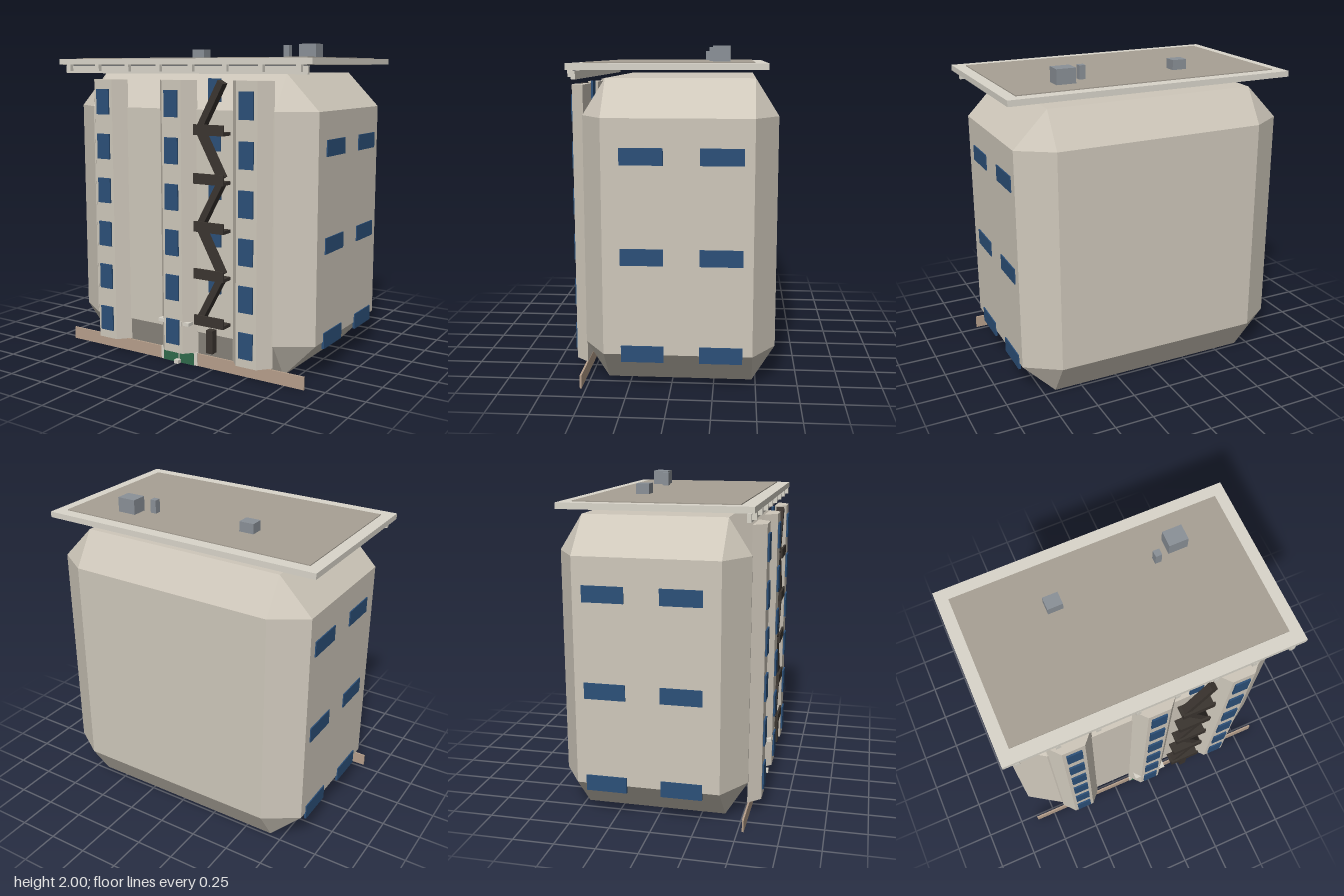
import * as THREE from 'three';
import { ConvexGeometry } from 'three/addons/geometries/ConvexGeometry.js';

const mat = (color) => new THREE.MeshStandardMaterial({ color, flatShading: true });
const wall = mat(0xcfc8bb), trim = mat(0xdad6cb), glass = mat(0x2c5079), iron = mat(0x3b3530);
const plinthMat = mat(0xb7a08c), doorMat = mat(0x2f6b4b), roofMat = mat(0xa8a195), unitMat = mat(0x8b9198);

export function createModel() {
  const model = new THREE.Group();

  const add = (name, geometry, material, parent = model) => {
    const mesh = new THREE.Mesh(geometry, material);
    mesh.name = name;
    parent.add(mesh);
    return mesh;
  };
  // Box given by its limits on each axis
  const box = (name, material, [x0, x1], [y0, y1], [z0, z1], parent) => {
    const m = add(name, new THREE.BoxGeometry(x1 - x0, y1 - y0, z1 - z0), material, parent);
    m.position.set((x0 + x1) / 2, (y0 + y1) / 2, (z0 + z1) / 2);
    return m;
  };
  const group = (name) => {
    const g = new THREE.Group();
    g.name = name;
    model.add(g);
    return g;
  };

  // Main block: a box with every edge and corner bevelled
  const zMid = -0.043, points = [];
  for (const sx of [-1, 1]) for (const top of [false, true]) for (const sz of [-1, 1]) {
    const yOut = top ? 1.815 : 0, yIn = top ? 1.6 : 0.22;
    const zOut = zMid + sz * 0.572, zIn = zMid + sz * 0.435;
    points.push(
      new THREE.Vector3(sx * 0.88, yIn, zIn),
      new THREE.Vector3(sx * 0.67, yOut, zIn),
      new THREE.Vector3(sx * 0.67, yIn, zOut));
  }
  add('mainBlock', new ConvexGeometry(points), wall);

  // Three projecting window bays, trapezoid in plan
  const plan = new THREE.Shape([[-0.138, -0.525], [-0.07, -0.602], [0.07, -0.602], [0.138, -0.525]]
    .map(([x, y]) => new THREE.Vector2(x, y)));
  const bayGeometry = new THREE.ExtrudeGeometry(plan, { depth: 1.69, bevelEnabled: false });
  bayGeometry.rotateX(-Math.PI / 2);
  for (const x of [-0.527, 0, 0.527]) {
    const bay = group('windowBay');
    bay.position.x = x;
    add('bayWall', bayGeometry, wall, bay).position.y = 0.085;
    for (let i = 0; i < 6; i++) {
      const y = 0.22 + i * 0.283;
      box('bayWindow', glass, [-0.048, 0.048], [y - 0.08, y + 0.08], [0.598, 0.613], bay);
    }
  }

  // Side windows
  const sideWindows = group('sideWindows');
  for (const s of [-1, 1]) for (const y of [0.225, 0.805, 1.385]) for (const z of [0.163, -0.295]) {
    const w = box('sideWindow', glass, [-0.0075, 0.0075], [y - 0.049, y + 0.049], [z - 0.125, z + 0.125], sideWindows);
    w.position.x = s * 0.8795;
  }

  // Stairwell windows and the door under the fire escape
  for (let i = 0; i < 5; i++) {
    const y = 0.488 + i * 0.29;
    box('stairWindow', glass, [0.225, 0.31], [y, y + 0.138], [0.526, 0.539]);
  }
  box('escapeLadder', iron, [0.247, 0.293], [0.125, 0.27], [0.56, 0.605]);

  // Fire escape: landings with a front rail, joined by zigzag flights
  const escape = group('fireEscape');
  const pitch = 0.29;
  for (let i = 0; i < 5; i++) {
    const y = 0.295 + i * pitch;
    box('landingFloor', iron, [0.165, 0.375], [y, y + 0.02], [0.53, 0.605], escape);
    box('landingRail', iron, [0.165, 0.375], [y, y + 0.063], [0.6, 0.613], escape);
    const dir = i % 2 ? -1 : 1, run = 0.15, rise = 0.272;
    const flight = add('stairFlight', new THREE.BoxGeometry(Math.hypot(run, rise), 0.042, 0.05), iron, escape);
    flight.position.set(0.271, y + 0.03 + pitch / 2, 0.572);
    flight.rotation.z = dir * Math.atan2(rise, run);
  }

  // Plinth strip, entrance and canopy
  box('plinth', plinthMat, [-0.88, 0.88], [0, 0.08], [0.526, 0.537]);
  box('doorSurround', trim, [-0.138, 0.138], [0, 0.085], [0.526, 0.54]);
  for (const s of [-1, 1]) {
    const leaf = box('doorLeaf', doorMat, [-0.055, 0.055], [0, 0.078], [0.53, 0.545]);
    leaf.position.x = s * 0.06;
    const bracket = box('canopyBracket', trim, [-0.007, 0.007], [0.262, 0.292], [0.55, 0.605]);
    bracket.position.x = s * 0.056;
  }
  box('doorStep', trim, [-0.016, 0.016], [0, 0.024], [0.54, 0.575]);
  box('canopy', trim, [-0.115, 0.115], [0.267, 0.288], [0.53, 0.6]);

  // Overhanging roof with fascia and brackets
  box('roofSlab', trim, [-0.92, 0.92], [1.866, 1.902], [-0.545, 0.572]);
  box('roofDeck', roofMat, [-0.847, 0.847], [1.9, 1.908], [-0.47, 0.488]);
  box('fascia', trim, [-0.88, 0.88], [1.812, 1.86], [0.525, 0.548]);
  for (let i = 0; i < 8; i++) {
    const x = -0.837 + i * 0.239;
    box('roofBracket', trim, [x - 0.015, x + 0.015], [1.825, 1.866], [0.545, 0.573]);
  }

  // Rooftop units
  box('roofVent', unitMat, [-0.36, -0.265], [1.905, 1.97], [-0.235, -0.153]);
  box('chimney', unitMat, [0.33, 0.37], [1.905, 1.992], [-0.243, -0.2]);
  box('roofHut', unitMat, [0.428, 0.55], [1.905, 2], [-0.33, -0.228]);

  return model;
}
